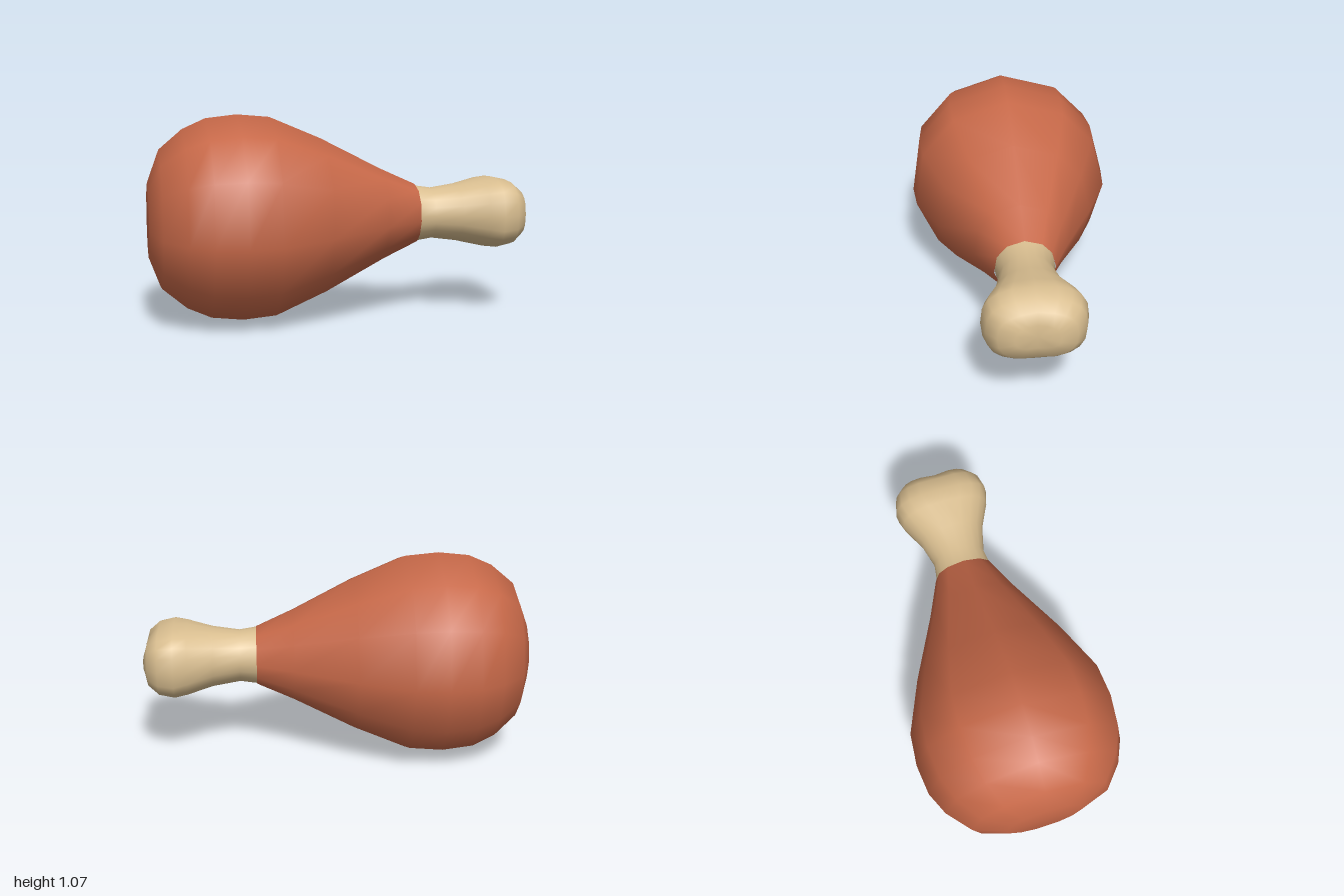
import * as THREE from 'three';

const CENTRE_Y = 0.537;

// Skins closed rings of points along x, with a centre point closing each requested end.
function skin(rings, startCap, endCap) {
  const n = rings[0].length;
  const pos = rings.flat(2);
  const index = [];
  for (let i = 0; i < rings.length - 1; i++) {
    for (let j = 0; j < n; j++) {
      const k = (j + 1) % n;
      const a = i * n + j, b = i * n + k, c = a + n, d = b + n;
      index.push(a, b, c, b, d, c);
    }
  }
  const addCap = (centre, first, flip) => {
    const m = pos.length / 3;
    pos.push(...centre);
    for (let j = 0; j < n; j++) {
      const p = first + j, q = first + (j + 1) % n;
      index.push(m, flip ? q : p, flip ? p : q);
    }
  };
  if (startCap) addCap(startCap, 0, true);
  if (endCap) addCap(endCap, (rings.length - 1) * n, false);
  const geo = new THREE.BufferGeometry();
  geo.setAttribute('position', new THREE.Float32BufferAttribute(pos, 3));
  geo.setIndex(index);
  geo.computeVertexNormals();
  return geo;
}

// Plump meat: uneven twelve-sided rings, [x, radius]
function meatGeometry() {
  const angles = [1, 35, 64, 99, 129, 155, 189.5, 217, 240.5, 268, 300, 326.5];
  const profile = [
    [-1, 0.2], [-0.94, 0.365], [-0.82, 0.468], [-0.7, 0.522], [-0.54, 0.54],
    [-0.37, 0.525], [-0.1, 0.41], [0.22, 0.245], [0.413, 0.157],
  ];
  const rings = profile.map(([x, r]) => angles.map((deg) => {
    const t = THREE.MathUtils.degToRad(deg);
    return [x, CENTRE_Y + r * Math.cos(t), r * Math.sin(t)];
  }));
  return skin(rings, [-1, CENTRE_Y, 0], null);
}

// Bone: rounded-rectangle rings that widen into a two-lobed knuckle,
// [x, half height, half depth, squareness, notch depth]
function boneGeometry() {
  const sides = 20;
  const profile = [
    [0.34, 0.155, 0.155, 2, 0], [0.42, 0.148, 0.151, 2, 0], [0.5, 0.136, 0.14, 2, 0],
    [0.64, 0.155, 0.175, 2.1, 0], [0.77, 0.183, 0.238, 2.4, 0], [0.84, 0.188, 0.258, 2.7, 0],
    [0.92, 0.172, 0.24, 2.7, 0.005], [0.975, 0.13, 0.19, 2.6, 0.015], [1, 0.065, 0.11, 2.4, 0.025],
  ];
  const power = (v, e) => Math.sign(v) * Math.abs(v) ** e;
  const rings = profile.map(([x, h, d, n, notch]) => Array.from({ length: sides }, (_, j) => {
    const t = (j / sides) * Math.PI * 2;
    const z = d * power(Math.sin(t), 2 / n);
    const y = CENTRE_Y + h * power(Math.cos(t), 2 / n);
    return [x - notch * Math.exp(-((z / 0.07) ** 2)), y, z];
  }));
  return skin(rings, null, [0.975, CENTRE_Y, 0]);
}

export function createModel() {
  const meatMaterial = new THREE.MeshStandardMaterial({ color: 0xc66848 });
  meatMaterial.name = 'roastedMeat';
  const boneMaterial = new THREE.MeshStandardMaterial({ color: 0xd9be90 });
  boneMaterial.name = 'paleBone';

  const meat = new THREE.Mesh(meatGeometry(), meatMaterial);
  meat.name = 'meat';
  const bone = new THREE.Mesh(boneGeometry(), boneMaterial);
  bone.name = 'bone';

  const group = new THREE.Group();
  group.name = 'drumstick';
  group.add(meat, bone);
  return group;
}
